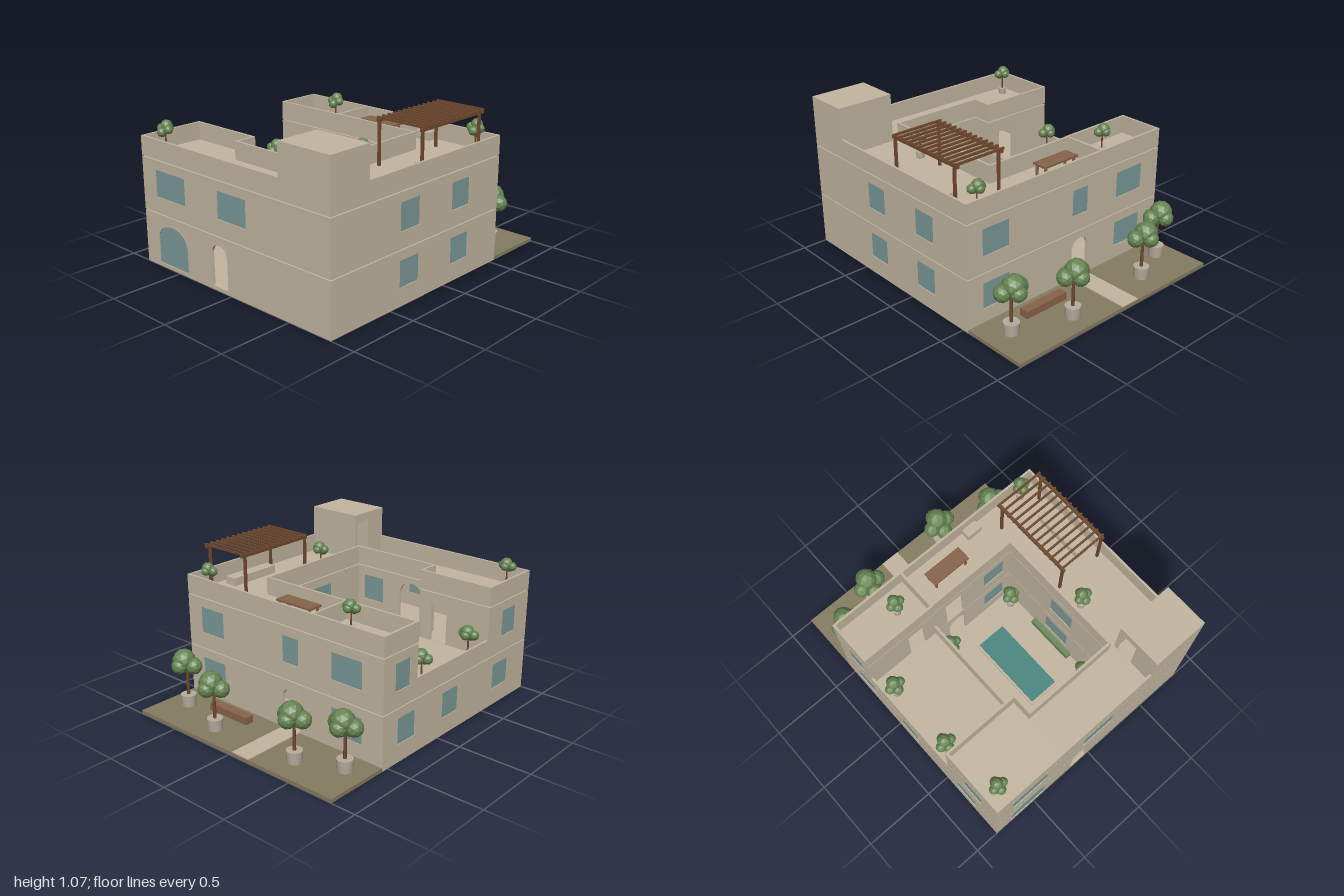
import * as THREE from 'three';

const mat = (name, color) => {
  const m = new THREE.MeshStandardMaterial({ color });
  m.name = name;
  return m;
};
const M = {
  stone: mat('sandstone', 0xc2b5a0), glass: mat('window glass', 0x7a9897), water: mat('pool water', 0x47867f),
  wood: mat('timber', 0x87634a), dark: mat('pergola timber', 0x70492f), leaf: mat('foliage', 0x668553),
  hedge: mat('hedge green', 0x6c8a5b), earth: mat('garden soil', 0x857b61), pot: mat('clay pot', 0xb5ab9b),
};
M.leaf.flatShading = true;
const T = 0.016; // wall thickness

export function createModel() {
  const model = new THREE.Group();
  model.name = 'courtyardHouse';

  const add = (parent, name, geo, m, x = 0, y = 0, z = 0) => {
    const mesh = new THREE.Mesh(geo, m);
    mesh.name = name;
    mesh.position.set(x, y, z);
    parent.add(mesh);
    return mesh;
  };
  // Box given by its limits on each axis
  const block = (name, m, x0, x1, y0, y1, z0, z1, parent = model) =>
    add(parent, name, new THREE.BoxGeometry(x1 - x0, y1 - y0, z1 - z0), m, (x0 + x1) / 2, (y0 + y1) / 2, (z0 + z1) / 2);

  // Outline of an opening; rise > 0 gives it an arched head
  const outline = (P, { a, b, y0, y1, rise = 0 }) => {
    const p = new P();
    p.moveTo(a, y0);
    p.lineTo(b, y0);
    p.lineTo(b, y1 - rise);
    if (rise) p.absellipse((a + b) / 2, y1 - rise, (b - a) / 2, rise, 0, Math.PI, false);
    else p.lineTo(a, y1);
    p.lineTo(a, y0);
    return p;
  };
  // Wall along x or z with its lower face at pos, pierced by openings
  const wall = (name, axis, pos, from, to, y0, y1, openings = []) => {
    const g = new THREE.Group();
    g.name = name;
    const s = outline(THREE.Shape, { a: from, b: to, y0, y1 });
    openings.forEach(o => s.holes.push(outline(THREE.Path, o)));
    const ext = (shape, depth) => new THREE.ExtrudeGeometry(shape, { depth, bevelEnabled: false, curveSegments: 16 });
    add(g, 'wallPanel', ext(s, T), M.stone);
    openings.forEach(o => {
      if (o.glass) add(g, 'windowPane', ext(outline(THREE.Shape, o), 0.005), M.glass, 0, 0, T / 2 - 0.0025);
      if (o.rise) { // raised band around the arch
        const cx = (o.a + o.b) / 2, r = (o.b - o.a) / 2, y = o.y1 - o.rise, ring = new THREE.Shape();
        ring.absellipse(cx, y, r + 0.006, o.rise + 0.01, 0, Math.PI, false);
        ring.absellipse(cx, y, r - 0.004, o.rise - 0.006, Math.PI, 0, true);
        add(g, 'archBand', ext(ring, T + 0.004), M.stone, 0, 0, -0.002);
      }
    });
    if (axis === 'x') g.position.z = pos;
    else {
      g.rotation.y = -Math.PI / 2;
      g.position.x = pos + T;
    }
    model.add(g);
  };
  const win = (a, b, level) => ({ a, b, y0: level ? 0.475 : 0.12, y1: level ? 0.655 : 0.295, glass: true });
  const gate = { a: -0.17, b: -0.03, y0: 0.026, y1: 0.31, rise: 0.06 };
  const door = { a: -0.5, b: -0.375, y0: 0.376, y1: 0.655 };

  // Ground, garden and path
  block('gardenBed', M.earth, -0.83, 0.83, 0, 0.025, -1, -0.551);
  block('gardenPath', M.stone, -0.17, -0.03, 0.025, 0.03, -1, -0.551);
  block('groundFloor', M.stone, -0.828, 0.828, 0.001, 0.025, -0.549, 0.998);

  // Ground storey
  const G = [0, 0.358];
  wall('frontWall', 'x', 1 - T, -0.83, 0.83, ...G,
    [{ a: -0.7, b: -0.41, y0: 0.026, y1: 0.302, rise: 0.1, glass: true }, gate]);
  wall('backWall', 'x', -0.55, -0.83, 0.83, ...G, [win(-0.67, -0.43, 0), gate, win(0.5, 0.71, 0)]);
  wall('leftWall', 'z', 0.83 - T, -0.55, 1, ...G, [win(-0.24, -0.065, 0), win(0.245, 0.42, 0)]);
  wall('rightWall', 'z', -0.83, -0.55, 1, ...G, [win(-0.41, -0.24, 0), win(0.04, 0.21, 0), win(0.61, 0.79, 0)]);
  wall('courtFrontWall', 'x', 0.67, -0.29, 0.39, ...G, [gate, win(0.15, 0.32, 0)]);
  wall('courtBackWall', 'x', -0.25, -0.29, 0.39, ...G, [gate, win(0.15, 0.32, 0)]);
  wall('courtLeftWall', 'z', 0.375, -0.25, 0.68, ...G, [win(0.15, 0.36, 0)]);
  wall('courtRightWall', 'z', -0.292, -0.25, 0.68, ...G, [win(0.06, 0.22, 0)]);

  // Upper storey, and the parapet that repeats its plan
  const courtArch = { a: -0.2, b: 0, y0: 0.376, y1: 0.685, rise: 0.09 };
  const plan = [
    ['Front', 'x', 1 - T, -0.83, 0.83, [win(-0.7, -0.41, 1), win(-0.105, 0.15, 1)]],
    ['Back', 'x', -0.55, -0.83, 0.83, [win(-0.67, -0.43, 1), win(-0.165, -0.03, 1), win(0.5, 0.71, 1)]],
    ['Left', 'z', 0.83 - T, -0.55, 1, [win(-0.24, -0.065, 1), win(0.245, 0.42, 1)]],
    ['RightBack', 'z', -0.83, -0.55, -0.23, [win(-0.44, -0.3, 1)]],
    ['RightFront', 'z', -0.83, 0.53, 1, [win(0.69, 0.85, 1)]],
    ['CourtFront', 'x', 0.67, -0.29, 0.39, [courtArch, win(0.15, 0.32, 1)]],
    ['CourtBack', 'x', -0.25, -0.29, 0.39, [{ a: -0.18, b: -0.04, y0: 0.376, y1: 0.66 }, win(0.15, 0.32, 1)]],
    ['CourtLeft', 'z', 0.375, -0.25, 0.68, [win(0.17, 0.37, 1)]],
    ['TerraceBack', 'x', -0.23 - T, -0.83, -0.28, [door]],
    ['TerraceFront', 'x', 0.53, -0.83, -0.28, [door]],
    ['TerraceReturn', 'z', -0.292, 0.53, 0.68, []],
    ['Divider', 'z', -0.292, -0.55, -0.23, []],
  ];
  plan.forEach(([n, axis, pos, a, b, holes]) => {
    wall('upper' + n + 'Wall', axis, pos, a, b, 0.365, 0.718, holes);
    const end = n === 'Front' ? 0.43 : n === 'Left' ? 0.69 : b;
    wall('parapet' + n, axis, pos, a, end, 0.725, 0.855);
  });
  [-0.83, -0.292].forEach(x => wall('terraceParapet', 'z', x, -0.23, 0.53, 0.365, 0.495));

  // Floor and roof slabs around the courtyard
  const slabs = [[-0.828, 0.828, -0.548, -0.236], [0.377, 0.828, -0.236, 0.998],
    [-0.29, 0.377, 0.672, 0.998], [-0.828, -0.29, 0.532, 0.998]];
  slabs.forEach(([x0, x1, z0, z1]) => {
    block('upperFloor', M.stone, x0, x1, 0.366, 0.375, z0, z1);
    block('roofSlab', M.stone, x0, x1, 0.726, 0.735, z0, z1);
  });
  block('terraceFloor', M.stone, -0.828, -0.278, 0.366, 0.375, -0.236, 0.532);

  // Stair tower
  const S = [0.725, 1.06];
  wall('towerFront', 'x', 1 - T, 0.43, 0.83, ...S);
  wall('towerBack', 'x', 0.69, 0.43, 0.83, ...S);
  wall('towerLeft', 'z', 0.83 - T, 0.69, 1, ...S);
  wall('towerRight', 'z', 0.43, 0.69, 1, ...S, [{ a: 0.715, b: 0.835, y0: 0.736, y1: 1.0 }]);
  block('towerRoof', M.stone, 0.43, 0.83, 1.055, 1.066, 0.69, 1);

  // Pool and courtyard hedges
  block('poolRim', M.stone, -0.07, 0.175, 0.025, 0.04, -0.07, 0.51);
  block('poolWater', M.water, -0.055, 0.162, 0.04, 0.043, -0.055, 0.495);
  [[-0.275, -0.23, -0.04, 0.012], [-0.275, -0.23, 0.27, 0.35], [0.337, 0.374, 0.06, 0.42]].forEach(
    ([x0, x1, z0, z1]) => block('hedge', M.hedge, x0, x1, 0.025, 0.08, z0, z1));

  // Pergola
  const pergola = new THREE.Group();
  pergola.name = 'pergola';
  model.add(pergola);
  [0.443, 0.775].forEach(x => {
    [-0.39, 0.17].forEach(z => block('pergolaPost', M.dark, x - 0.008, x + 0.008, 0.735, 1.015, z - 0.008, z + 0.008, pergola));
    block('pergolaBeam', M.dark, x - 0.009, x + 0.009, 1.013, 1.034, -0.425, 0.187, pergola);
  });
  for (let i = 0; i < 13; i++) {
    const z = -0.415 + i * 0.0485;
    block('pergolaSlat', M.dark, 0.425, 0.79, 1.03, 1.044, z - 0.006, z + 0.006, pergola);
  }

  // Roof furniture and garden bench
  block('roofBench', M.stone, 0.665, 0.75, 0.735, 0.79, -0.28, 0.1);
  block('roofBox', M.stone, 0.22, 0.33, 0.735, 0.79, -0.53, -0.465);
  block('tableTop', M.wood, -0.17, 0.115, 0.812, 0.826, -0.445, -0.34);
  [-0.15, 0.095].forEach(x => [-0.43, -0.355].forEach(z =>
    block('tableLeg', M.wood, x - 0.007, x + 0.007, 0.735, 0.812, z - 0.007, z + 0.007)));
  block('gardenBench', M.wood, 0.16, 0.495, 0.025, 0.076, -0.7, -0.638);

  // Potted trees: pot, trunk and clustered foliage
  const potGeo = new THREE.CylinderGeometry(0.052, 0.047, 0.08, 16);
  const trunkGeo = new THREE.CylinderGeometry(0.009, 0.011, 0.22, 8);
  const leafGeo = new THREE.IcosahedronGeometry(1, 1);
  const lobes = [[0, 0.332, -0.02, 0.075], [0.066, 0.298, 0.005, 0.056], [-0.066, 0.298, 0.005, 0.056],
    [0, 0.265, 0.052, 0.06], [0, 0.3, -0.058, 0.056]];
  const tree = (x, y, z, s) => {
    const t = new THREE.Group();
    t.name = 'pottedTree';
    add(t, 'pot', potGeo, M.pot, 0, 0.04, 0);
    add(t, 'trunk', trunkGeo, M.dark, 0, 0.18, 0);
    lobes.forEach(([a, b, c, r]) => add(t, 'foliage', leafGeo, M.leaf, a, b, c).scale.setScalar(r));
    t.position.set(x, y, z);
    t.scale.setScalar(s);
    model.add(t);
  };
  [[-0.68, -0.71], [-0.39, -0.83], [0.27, -0.86], [0.66, -0.74]].forEach(([x, z]) => tree(x, 0.025, z, 1));
  [[-0.45, -0.39], [0.69, -0.48], [0.46, 0.35], [-0.725, 0.885]].forEach(([x, z]) => tree(x, 0.735, z, 0.53));
  [[-0.75, -0.08], [-0.75, 0.42]].forEach(([x, z]) => tree(x, 0.375, z, 0.6));
  [-0.225, 0.325].forEach(x => [-0.15, 0.585].forEach(z => tree(x, 0.025, z, 0.58)));

  return model;
}
